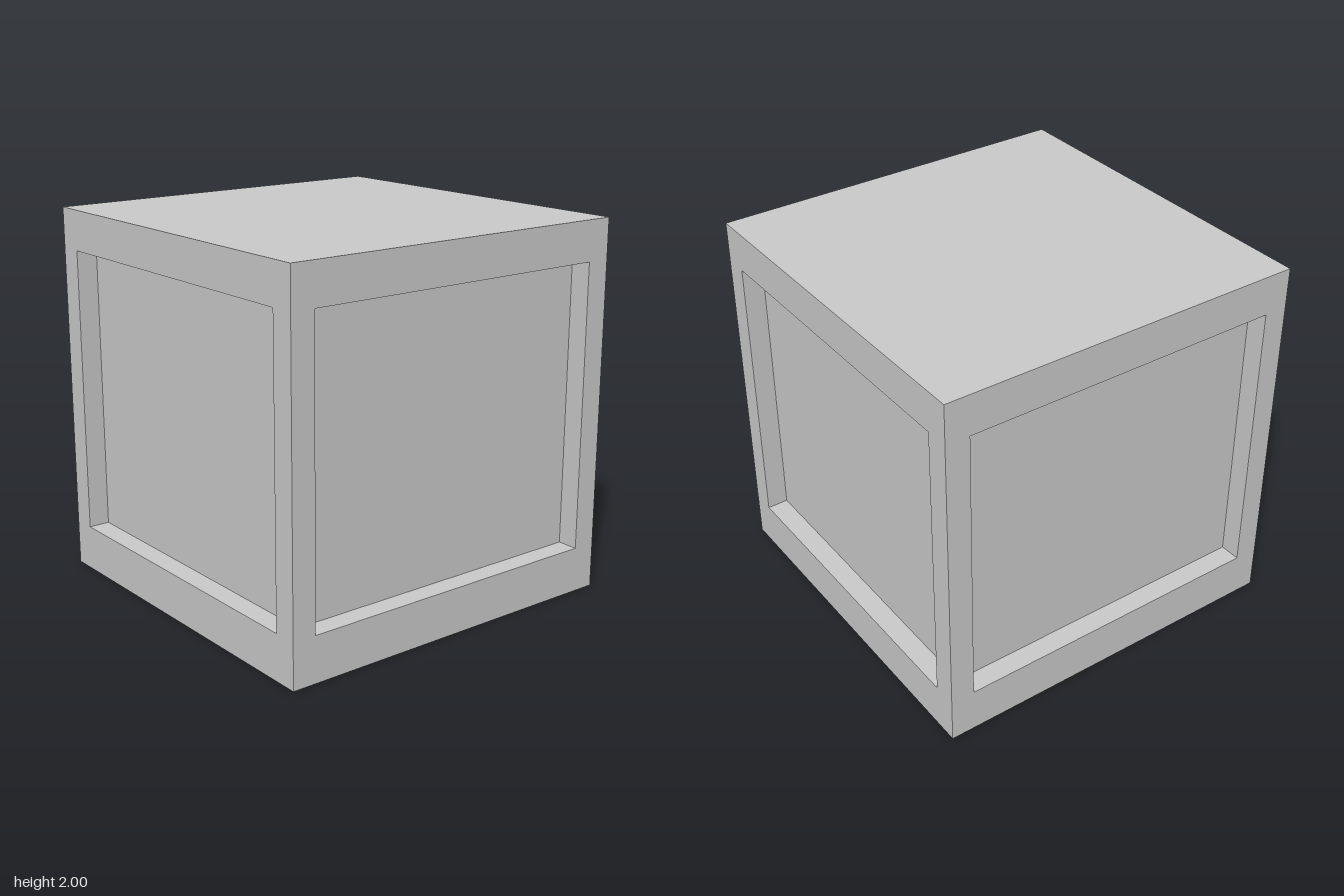
import * as THREE from 'three';

const HALF = 1;          // half the cube's side
const RECESS = 0.115;    // depth of the sunken panels
const material = new THREE.MeshStandardMaterial({ color: 0xcccccc, flatShading: true });

// Counter-clockwise rectangle, seen from +z
const rectangle = (halfWidth, bottom, top, z) => [
  [-halfWidth, bottom, z], [halfWidth, bottom, z], [halfWidth, top, z], [-halfWidth, top, z],
];

// Joins successive four-cornered loops with quads
function bridgeLoops(...loops) {
  const positions = [];
  for (let l = 0; l < loops.length - 1; l++) {
    const a = loops[l], b = loops[l + 1];
    for (let i = 0; i < 4; i++) {
      const j = (i + 1) % 4;
      for (const p of [a[i], a[j], b[j], a[i], b[j], b[i]]) positions.push(...p);
    }
  }
  const geometry = new THREE.BufferGeometry();
  geometry.setAttribute('position', new THREE.Float32BufferAttribute(positions, 3));
  geometry.computeVertexNormals();
  return geometry;
}

function addMesh(parent, name, geometry) {
  const mesh = new THREE.Mesh(geometry, material);
  mesh.name = name;
  parent.add(mesh);
  return mesh;
}

export function createModel() {
  const model = new THREE.Group();
  model.name = 'panelledCube';

  // Opening in each side, set a little higher than centre
  const openHalf = 0.87, openBottom = 0.245, openTop = 1.785;

  // Frame face and the walls of its recess
  const frame = bridgeLoops(
    rectangle(HALF, 0, 2 * HALF, HALF),
    rectangle(openHalf, openBottom, openTop, HALF),
    rectangle(openHalf, openBottom, openTop, HALF - RECESS),
  );

  // Flat floor of the recess
  const panel = new THREE.PlaneGeometry(2 * openHalf, openTop - openBottom);
  panel.translate(0, (openTop + openBottom) / 2, HALF - RECESS);

  // Four identical sides
  ['front', 'left', 'back', 'right'].forEach((name, i) => {
    const side = new THREE.Group();
    side.name = `${name}Side`;
    addMesh(side, `${name}Frame`, frame);
    addMesh(side, `${name}Panel`, panel);
    side.rotation.y = i * Math.PI / 2;
    model.add(side);
  });

  // Plain top and bottom
  const cap = new THREE.PlaneGeometry(2 * HALF, 2 * HALF);
  const top = addMesh(model, 'top', cap);
  top.rotation.x = -Math.PI / 2;
  top.position.y = 2 * HALF;
  const bottom = addMesh(model, 'bottom', cap);
  bottom.rotation.x = Math.PI / 2;

  return model;
}
